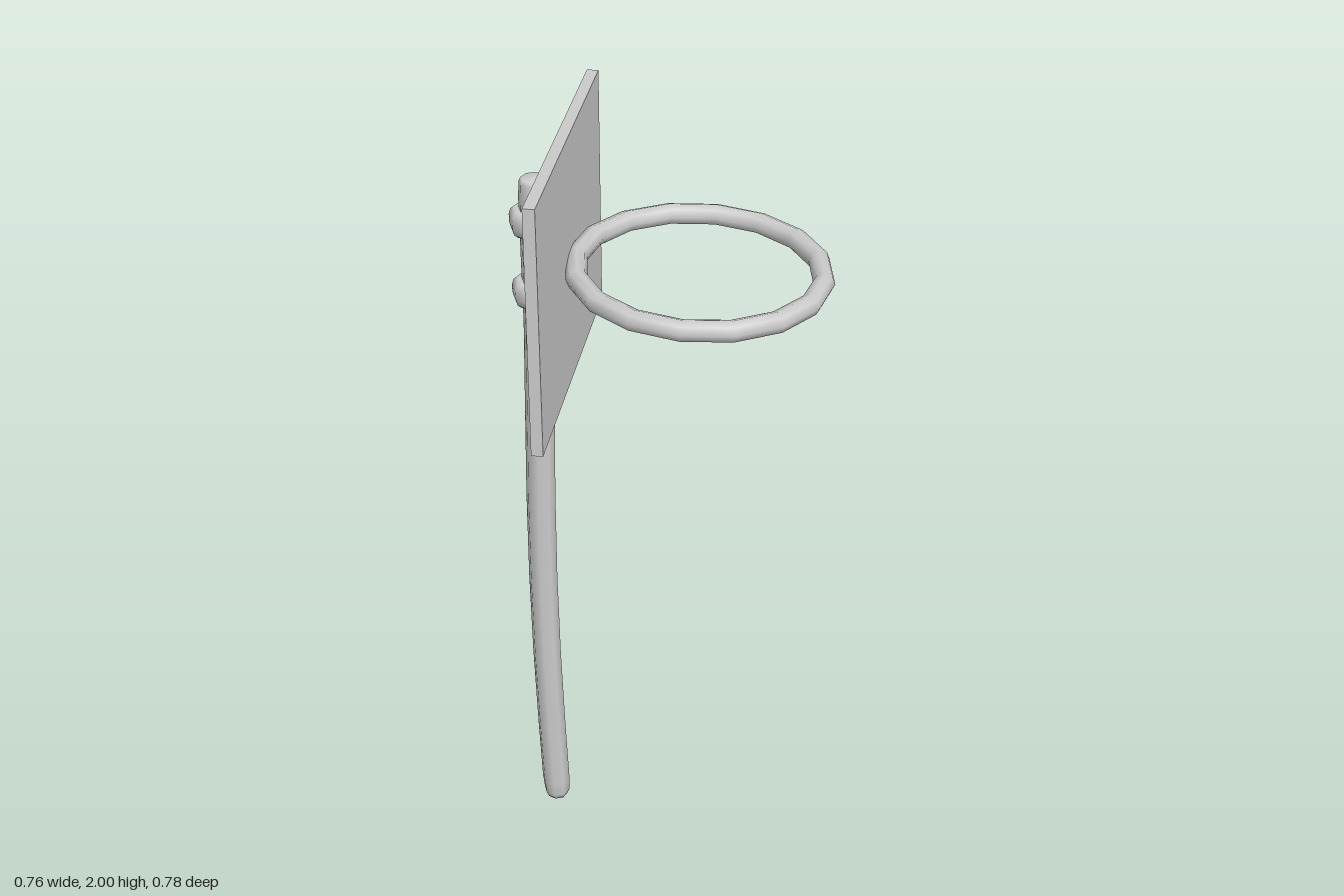
import * as THREE from 'three';

const POLE_X = -0.32;

export function createModel() {
  const model = new THREE.Group();
  const material = new THREE.MeshStandardMaterial({ color: 0xcccccc });

  const add = (name, geometry, x, y, z = 0) => {
    const mesh = new THREE.Mesh(geometry, material);
    mesh.name = name;
    mesh.position.set(x, y, z);
    model.add(mesh);
    return mesh;
  };
  // Eight-sided turned part from [radius, height] pairs, bottom to top
  const turned = (profile) =>
    new THREE.LatheGeometry(profile.map(([r, y]) => new THREE.Vector2(r, y)), 8);

  // Pole with rounded ends, bowed slightly away from the board
  const pole = turned([
    [0, 0], [0.028, 0.002], [0.034, 0.018], [0.037, 0.06], [0.037, 0.25],
    [0.037, 0.5], [0.037, 0.75], [0.037, 1.0], [0.037, 1.25], [0.037, 1.5],
    [0.037, 1.835], [0.034, 1.875], [0.029, 1.884], [0, 1.886],
  ]);
  const p = pole.attributes.position;
  for (let i = 0; i < p.count; i++) {
    const y = p.getY(i);
    if (y < 1.45) p.setX(i, p.getX(i) - 0.015 * Math.sin((Math.PI * y) / 1.45));
  }
  add('pole', pole, POLE_X, 0);

  // Two rounded collars clamping the board
  const collarProfile = [
    [0.034, -0.03], [0.048, -0.032], [0.057, -0.024], [0.061, -0.01],
    [0.061, 0.01], [0.057, 0.024], [0.048, 0.032], [0.034, 0.03],
  ];
  [['lowerCollar', 1.592], ['upperCollar', 1.777]].forEach(([name, y]) =>
    add(name, turned(collarProfile), POLE_X, y));

  // Backboard, hung slightly crooked
  const board = add('backboard', new THREE.BoxGeometry(0.028, 0.617, 0.766), -0.25, 1.683);
  board.rotation.x = -0.023;

  // Rim, sagging a little towards its free end
  const rimGeometry = new THREE.TorusGeometry(0.29, 0.026, 8, 16).rotateX(Math.PI / 2);
  const rim = add('rim', rimGeometry, 0.065, 1.677);
  rim.rotation.set(-0.018, 0, -0.04);

  return model;
}
